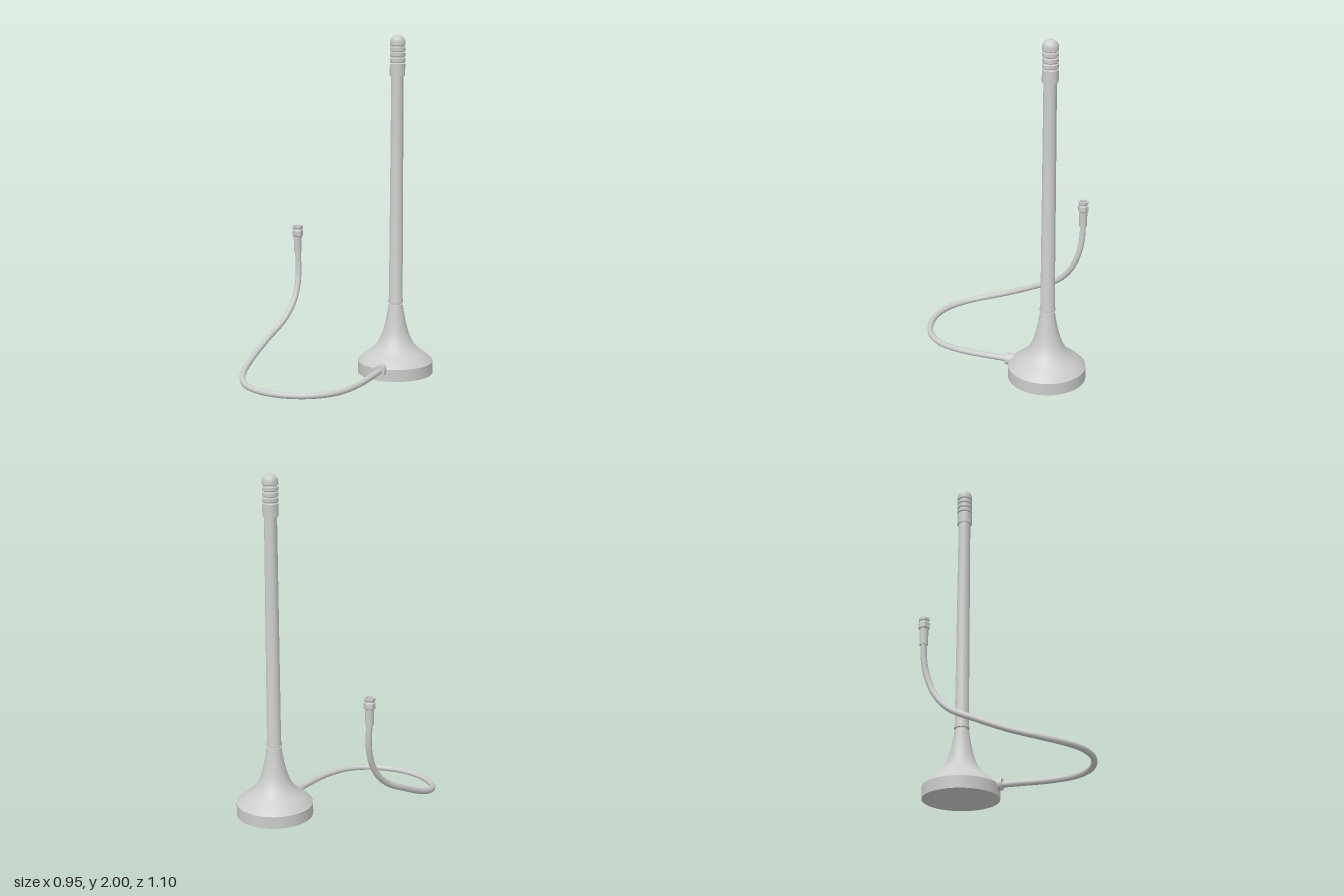
import * as THREE from 'three';
import { toCreasedNormals } from 'three/addons/utils/BufferGeometryUtils.js';

const material = new THREE.MeshStandardMaterial({ color: 0xcccccc, side: THREE.DoubleSide });

function addMesh(parent, name, geometry, x = 0, y = 0, z = 0) {
  const mesh = new THREE.Mesh(geometry, material);
  mesh.name = name;
  mesh.position.set(x, y, z);
  parent.add(mesh);
  return mesh;
}

// Revolved part from [radius, height] pairs, listed bottom to top
function turned(profile, sides = 32, crease = 0.6) {
  const points = profile.map(([r, y]) => new THREE.Vector2(r, y));
  return toCreasedNormals(new THREE.LatheGeometry(points, sides), crease);
}

export function createModel() {
  const model = new THREE.Group();
  model.name = 'magneticAntenna';

  const antenna = new THREE.Group();
  antenna.name = 'antenna';
  antenna.position.set(0.247, 0, -0.327);
  model.add(antenna);

  // Trumpet-shaped base: flat disc rim, then a concave sweep to the neck
  const sweep = new THREE.SplineCurve([
    [0.223, 0.072], [0.185, 0.108], [0.145, 0.138], [0.108, 0.178], [0.08, 0.235],
    [0.058, 0.32], [0.041, 0.415],
  ].map(([r, y]) => new THREE.Vector2(r, y))).getPoints(20).map((p) => [p.x, p.y]);
  addMesh(antenna, 'base', turned([[0, 0], [0.223, 0], ...sweep, [0, 0.415]], 40));

  // Narrow neck between base and mast
  addMesh(antenna, 'neck', new THREE.CylinderGeometry(0.034, 0.034, 0.03, 24), 0, 0.42, 0);

  // Slightly tapered mast with a small flare at its foot
  addMesh(antenna, 'mast', turned([
    [0, 0.425], [0.045, 0.425], [0.045, 0.433], [0.041, 0.45], [0.036, 1.78], [0, 1.78],
  ], 24));

  // Tip with ring grooves and a rounded top
  const tip = [[0, 1.765], [0.045, 1.765]];
  for (let i = 0; i < 4; i++) {
    const y = 1.835 + i * 0.031;
    tip.push([0.045, y], [0.039, y + 0.004], [0.039, y + 0.008], [0.045, y + 0.012]);
  }
  for (let i = 0; i <= 8; i++) {
    const a = (i / 8) * Math.PI / 2;
    tip.push([0.045 * Math.cos(a), 1.958 + 0.042 * Math.sin(a)]);
  }
  addMesh(antenna, 'tip', turned(tip, 24));

  // Cable gland on the front of the base
  const gland = addMesh(antenna, 'cableGland',
    new THREE.CylinderGeometry(0.034, 0.034, 0.1, 24), 0, 0.066, 0.197);
  gland.rotation.x = Math.PI / 2;

  // Cable loops forward over the ground, then rises to the connector
  const path = new THREE.CatmullRomCurve3([
    [0.247, 0.066, -0.12], [0.247, 0.064, 0.02], [0.238, 0.06, 0.2], [0.19, 0.055, 0.36],
    [0.1, 0.052, 0.46], [-0.02, 0.05, 0.515], [-0.14, 0.05, 0.53], [-0.26, 0.051, 0.505],
    [-0.36, 0.055, 0.44], [-0.43, 0.075, 0.33], [-0.457, 0.12, 0.18], [-0.445, 0.2, 0],
    [-0.413, 0.29, -0.17], [-0.393, 0.39, -0.26], [-0.389, 0.5, -0.307],
    [-0.395, 0.6, -0.325], [-0.4, 0.7, -0.327],
  ].map((p) => new THREE.Vector3(...p)));
  addMesh(model, 'cable', new THREE.TubeGeometry(path, 110, 0.0175, 14));

  // Plug on the cable end: sleeve, hex nut and open threaded rim
  const connector = new THREE.Group();
  connector.name = 'connector';
  connector.position.set(-0.4, 0, -0.327);
  model.add(connector);
  addMesh(connector, 'sleeve', turned([
    [0, 0.68], [0.023, 0.68], [0.025, 0.775], [0, 0.775],
  ], 20));
  addMesh(connector, 'hexNut', turned([
    [0, 0.772], [0.026, 0.772], [0.033, 0.78], [0.033, 0.808], [0.028, 0.815], [0.028, 0.82],
    [0.032, 0.825], [0.032, 0.838], [0.023, 0.838], [0.023, 0.81], [0, 0.81],
  ], 6, 0.3));
  addMesh(connector, 'innerRim', turned([
    [0.023, 0.808], [0.023, 0.837], [0.019, 0.837], [0.019, 0.81], [0, 0.81],
  ], 20));
  addMesh(connector, 'centrePin', new THREE.CylinderGeometry(0.004, 0.004, 0.02, 10), 0, 0.82, 0);

  return model;
}
